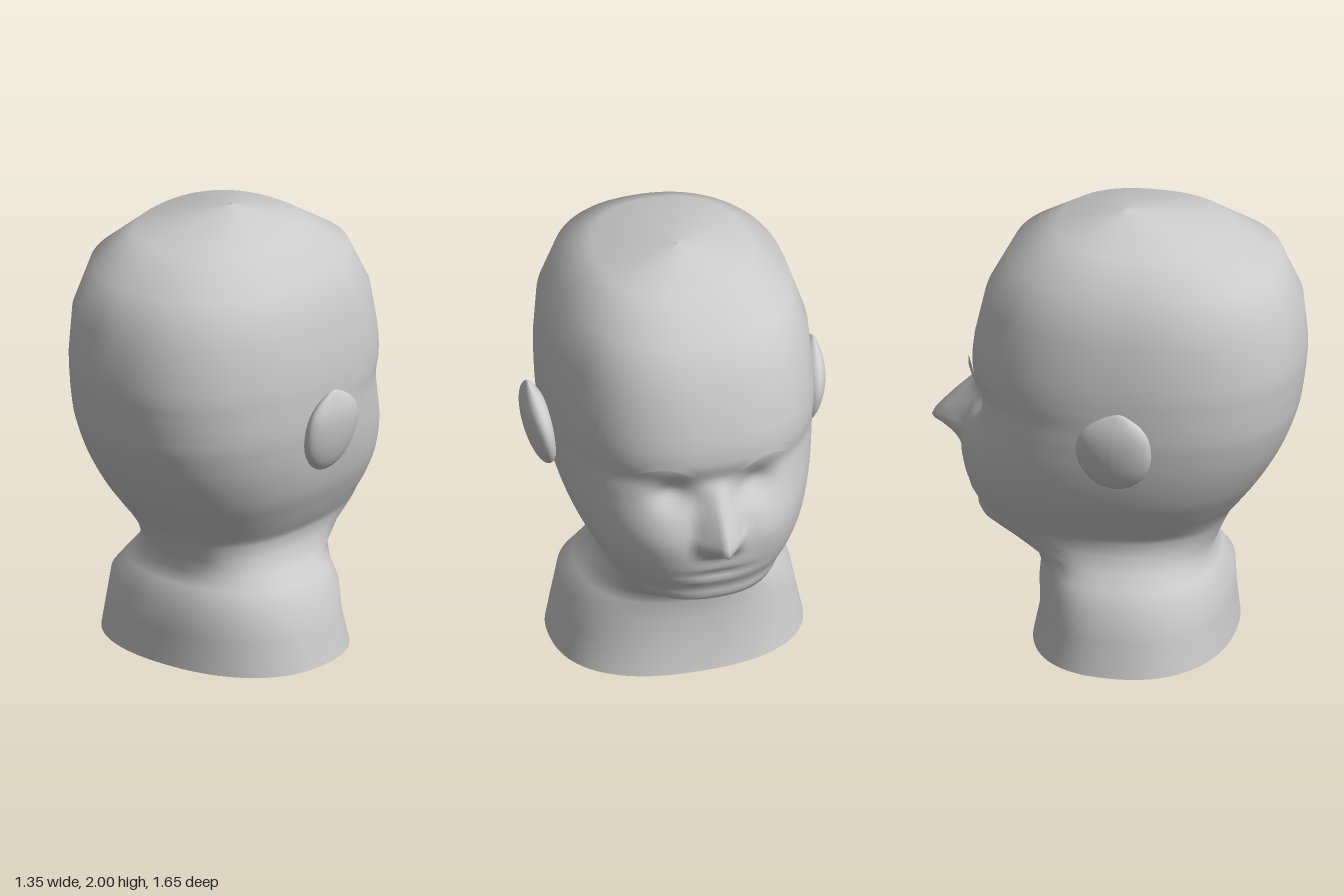
import * as THREE from 'three';

// Cross-sections of the bust: [y, half width, back z, front z]
const RINGS = [
  [0, 0.56, 0.525, -0.345], [0.15, 0.53, 0.51, -0.315], [0.28, 0.505, 0.505, -0.32],
  [0.36, 0.445, 0.455, -0.315], [0.42, 0.395, 0.43, -0.345], [0.49, 0.365, 0.455, -0.48],
  [0.555, 0.373, 0.485, -0.59], [0.62, 0.41, 0.52, -0.605], [0.69, 0.448, 0.575, -0.64],
  [0.8, 0.5, 0.655, -0.66], [0.95, 0.543, 0.74, -0.65], [1.1, 0.568, 0.795, -0.615],
  [1.18, 0.575, 0.81, -0.6], [1.27, 0.58, 0.822, -0.62], [1.4, 0.58, 0.83, -0.61],
  [1.6, 0.565, 0.81, -0.565], [1.8, 0.5, 0.72, -0.46], [1.93, 0.345, 0.5, -0.255],
  [2, 0.002, 0.042, 0.038],
];

// Nose ridge: [y, height in front of the face, half width]
const NOSE = [[0.81, 0, 0.13], [0.85, 0.055, 0.13], [0.91, 0.168, 0.125], [0.96, 0.15, 0.11],
  [1.06, 0.085, 0.09], [1.17, 0, 0.07]];

// Smooth interpolation through the table of cross-sections
function ringAt(y) {
  let i = RINGS.findIndex((r) => r[0] > y) - 1;
  if (i < 0) i = RINGS.length - 2;
  const a = RINGS[i], b = RINGS[i + 1];
  const p = RINGS[Math.max(i - 1, 0)], q = RINGS[Math.min(i + 2, RINGS.length - 1)];
  const h = b[0] - a[0], t = (y - a[0]) / h;
  return [1, 2, 3].map((k) => {
    const m0 = (b[k] - p[k]) / (b[0] - p[0]) * h, m1 = (q[k] - a[k]) / (q[0] - a[0]) * h;
    return (2 * t ** 3 - 3 * t * t + 1) * a[k] + (t ** 3 - 2 * t * t + t) * m0
      + (3 * t * t - 2 * t ** 3) * b[k] + (t ** 3 - t * t) * m1;
  });
}

const bump = (x, y, cx, cy, sx, sy) => Math.exp(-(((Math.abs(x) - cx) / sx) ** 2) - ((y - cy) / sy) ** 2);

// Forward offset of the facial features (positive is towards the face side, -z)
function features(x, y) {
  let f = -0.06 * bump(x, y, 0.18, 1.11, 0.085, 0.065)
    + 0.02 * bump(x, y, 0.24, 0.9, 0.13, 0.1)
    - 0.018 * bump(x, y, 0, 0.715, 0.14, 0.018);
  for (let i = 0; i < NOSE.length - 1; i++) {
    const [y0, h0, w0] = NOSE[i], [y1, h1, w1] = NOSE[i + 1];
    if (y < y0 || y >= y1) continue;
    const t = (y - y0) / (y1 - y0);
    f += (h0 + (h1 - h0) * t) * Math.max(0, 1 - Math.abs(x) / (w0 + (w1 - w0) * t));
  }
  return f;
}

const FRONT_POWER = 2.4, BACK_POWER = 2.25;

function headGeometry() {
  // Dense rows over the face, plain rows elsewhere
  const rows = RINGS.map((r) => r[0]).filter((y) => y < 0.56 || y > 1.35);
  for (let y = 0.58; y < 1.35; y += 0.02) rows.push(y);
  rows.sort((a, b) => a - b);
  const n = 128, pos = [], index = [];
  rows.forEach((y, j) => {
    const [w, back, front] = ringAt(y);
    const mid = (back + front) / 2, d = (back - front) / 2;
    for (let i = 0; i < n; i++) {
      const a = i / n * Math.PI * 2, s = Math.sin(a), c = Math.cos(a);
      const p = c < 0 ? FRONT_POWER : BACK_POWER;
      const r = (Math.abs(s) ** p + Math.abs(c) ** p) ** (-1 / p);
      const x = w * r * s;
      pos.push(x, y, mid + d * r * c - (c < 0 ? features(x, y) : 0));
      if (j === rows.length - 1) continue;
      const k = j * n + i, l = j * n + (i + 1) % n;
      index.push(k, l, l + n, k, l + n, k + n);
    }
  });
  const g = new THREE.BufferGeometry();
  g.setAttribute('position', new THREE.Float32BufferAttribute(pos, 3));
  g.setIndex(index);
  g.computeVertexNormals();
  return g;
}

// Move every vertex of a geometry by a rule
function reshape(g, rule) {
  const p = g.attributes.position, v = new THREE.Vector3();
  for (let i = 0; i < p.count; i++) {
    v.fromBufferAttribute(p, i);
    rule(v);
    p.setXYZ(i, v.x, v.y, v.z);
  }
  g.computeVertexNormals();
  return g;
}

// Lens-shaped ear, narrowing to a point at the top
function earGeometry() {
  return reshape(new THREE.SphereGeometry(1, 32, 24), (v) => {
    const taper = v.y > 0 ? 1 - 0.5 * v.y ** 4 : 1;
    v.set(v.x * 0.063 * taper, v.y * 0.2, v.z * 0.167 * taper + (v.y > 0 ? 0.03 * v.y ** 2 : 0));
  });
}

// Arched strip that follows the forehead
function browGeometry(side) {
  const g = new THREE.PlaneGeometry(1, 1, 16, 2).rotateY(Math.PI);
  return reshape(g, (v) => {
    const t = side * v.x + 0.5;
    const x = side * (0.1 + 0.26 * t);
    const thick = 0.025 + 0.02 * Math.sin(Math.PI * t);
    const y = 1.235 + 0.065 * Math.sin(Math.PI * t) + v.y * thick;
    const [w, back, front] = ringAt(y);
    const depth = (1 - Math.abs(x / w) ** FRONT_POWER) ** (1 / FRONT_POWER);
    v.set(x, y, (back + front) / 2 - (back - front) / 2 * depth - features(x, y) - 0.018);
  });
}

export function createModel() {
  const model = new THREE.Group();
  model.name = 'headBust';
  const clay = new THREE.MeshStandardMaterial({ color: 0xcccccc, side: THREE.DoubleSide });
  clay.name = 'grey clay';

  const add = (name, geometry) => {
    const mesh = new THREE.Mesh(geometry, clay);
    mesh.name = name;
    model.add(mesh);
    return mesh;
  };

  add('headAndNeck', headGeometry());
  for (const [side, label] of [[1, 'left'], [-1, 'right']]) {
    const ear = add(label + 'Ear', earGeometry());
    ear.position.set(side * 0.605, 1.128, 0.11);
    ear.rotation.z = -side * 0.19;
    add(label + 'Eyebrow', browGeometry(side));
  }
  return model;
}
